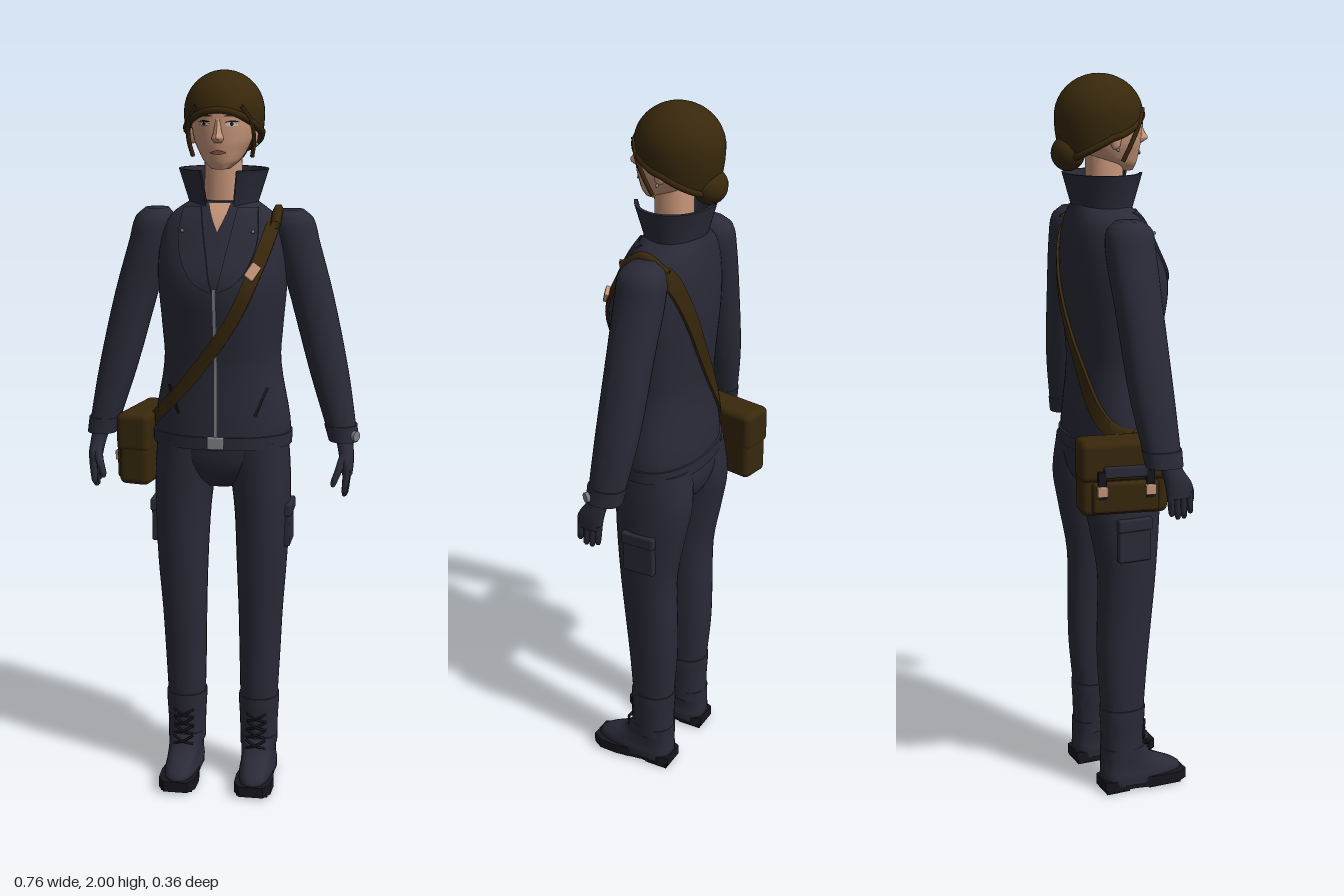
import * as THREE from 'three';
import { toCreasedNormals } from 'three/addons/utils/BufferGeometryUtils.js';
import { RoundedBoxGeometry } from 'three/addons/geometries/RoundedBoxGeometry.js';

const mat = (name, color, side = THREE.FrontSide) => {
  const m = new THREE.MeshStandardMaterial({ color, side });
  m.name = name;
  return m;
};
const M = {
  cloth: mat('navy cloth', 0x2a2a38, THREE.DoubleSide),
  dark: mat('dark trim', 0x15151c, THREE.DoubleSide),
  brown: mat('brown hair and canvas', 0x38280c, THREE.DoubleSide),
  skin: mat('skin', 0xc8967a, THREE.DoubleSide),
  lips: mat('lips', 0x9c5a4c, THREE.DoubleSide),
  metal: mat('grey metal', 0x7c7f84, THREE.DoubleSide),
  white: mat('eye white', 0xd0ccc6, THREE.DoubleSide),
};

function mesh(parent, name, geo, material, p = [0, 0, 0], r = [0, 0, 0]) {
  const m = new THREE.Mesh(geo, material);
  m.name = name;
  m.position.set(...p);
  m.rotation.set(...r);
  parent.add(m);
  return m;
}

// Smooth section at height y; a section is [y, cx, cz, rx, rzFront, rzBack].
function at(S, y) {
  const last = S.length - 1;
  let i = 0;
  while (i < last - 1 && y > S[i + 1][0]) i++;
  const h = S[i + 1][0] - S[i][0];
  const u = THREE.MathUtils.clamp((y - S[i][0]) / h, 0, 1);
  const slope = (k, c) => {
    const a = S[Math.max(k - 1, 0)], b = S[Math.min(k + 1, last)];
    return (b[c] - a[c]) / (b[0] - a[0]);
  };
  return S[i].map((v, c) => c === 0 ? y
    : v * (1 + 2 * u) * (1 - u) ** 2 + S[i + 1][c] * u * u * (3 - 2 * u)
      + h * (slope(i, c) * u * (1 - u) ** 2 - slope(i + 1, c) * u * u * (1 - u)));
}

// Indexed grid of points with optional end caps.
function grid(rows, closed, caps) {
  const n = rows[0].length, pos = rows.flat(2), idx = [], id = (i, j) => i * n + (j % n);
  for (let i = 0; i < rows.length - 1; i++)
    for (let j = 0; j < (closed ? n : n - 1); j++)
      idx.push(id(i, j), id(i, j + 1), id(i + 1, j + 1), id(i, j), id(i + 1, j + 1), id(i + 1, j));
  if (caps) [0, rows.length - 1].forEach((i, top) => {
    const c = pos.length / 3;
    for (let k = 0; k < 3; k++) pos.push(rows[i].reduce((s, p) => s + p[k], 0) / n);
    for (let j = 0; j < n; j++) idx.push(c, id(i, j + (top ? 0 : 1)), id(i, j + (top ? 1 : 0)));
  });
  const g = new THREE.BufferGeometry();
  g.setAttribute('position', new THREE.Float32BufferAttribute(pos, 3));
  g.setIndex(idx);
  g.computeVertexNormals();
  return toCreasedNormals(g, 0.9);
}

// Body part lofted through rounded horizontal sections, lowest first.
function loft(S, s = 1, n = 2.2, seg = 28, sub = 4) {
  const rows = [], pw = v => Math.sign(v) * Math.abs(v) ** (2 / n);
  for (let i = 0; i < S.length - 1; i++)
    for (let k = 0; k < sub + (i === S.length - 2 ? 1 : 0); k++) {
      const [y, cx, cz, rx, f, b] = at(S, S[i][0] + (S[i + 1][0] - S[i][0]) * k / sub);
      rows.push(Array.from({ length: seg }, (_, j) => {
        const a = j / seg * Math.PI * 2, c = pw(Math.cos(a));
        return [s * cx + rx * pw(Math.sin(a)), y, cz + c * (c > 0 ? f : b)];
      }));
    }
  return grid(rows, true, true);
}

// Raised strip lying on a lofted surface; path points are [x, y, halfWidth].
function strip(S, path, back, lift, n = 2.2) {
  const curve = new THREE.CatmullRomCurve3(path.map(p => new THREE.Vector3(...p)));
  const rows = [];
  for (let i = 0; i <= 24; i++) {
    const p = curve.getPoint(i / 24), t = curve.getTangent(i / 24), l = Math.hypot(t.x, t.y) || 1;
    rows.push([[-1, -0.006], [-1, lift], [0, lift], [1, lift], [1, -0.006]].map(([e, d]) => {
      const x = p.x - e * p.z * t.y / l, y = p.y + e * p.z * t.x / l;
      const [, cx, cz, rx, f, b] = at(S, y);
      const k = Math.max(0, 1 - Math.abs((x - cx) / rx) ** n) ** (1 / n);
      return [x, y, cz + (back ? -(b * k + d) : f * k + d)];
    }));
  }
  return grid(rows, false, false);
}

const tube = (pts, r, seg = 16) =>
  new THREE.TubeGeometry(new THREE.CatmullRomCurve3(pts.map(p => new THREE.Vector3(...p))), seg, r, 6);

const TORSO = [
  [1.0, 0, 0, .188, .128, .113], [1.06, 0, 0, .188, .128, .112], [1.22, 0, 0, .161, .128, .1],
  [1.32, 0, 0, .166, .143, .106], [1.45, 0, 0, .176, .157, .117], [1.55, 0, 0, .17, .115, .117],
  [1.62, 0, 0, .14, .078, .11], [1.66, 0, -.01, .085, .06, .09]];
const HEAD = [
  [1.745, 0, .04, .024, .032, .02], [1.765, 0, .02, .048, .06, .05], [1.79, 0, 0, .064, .086, .06],
  [1.82, 0, 0, .077, .09, .08], [1.87, 0, 0, .085, .092, .1], [1.92, 0, 0, .084, .088, .1],
  [1.97, 0, -.01, .05, .055, .06]];

function buildHead(g) {
  mesh(g, 'neck', loft([[1.6, 0, -.01, .056, .05, .05], [1.68, 0, -.01, .052, .05, .05],
    [1.79, 0, -.005, .05, .045, .055]]), M.skin);
  mesh(g, 'face', loft(HEAD, 1, 2.1), M.skin);
  mesh(g, 'nose', loft([[1.815, 0, .08, .011, .018, .01], [1.827, 0, .08, .017, .038, .01],
    [1.842, 0, .08, .012, .03, .01], [1.878, 0, .08, .008, .013, .01]], 1, 2, 12), M.skin);
  mesh(g, 'lips', strip(HEAD, [[-.022, 1.789, .001], [0, 1.79, .006], [.022, 1.789, .001]], false, .005, 2.1), M.lips);
  for (const s of [-1, 1]) {
    const line = (y, w, a, b) => strip(HEAD, [[s * a, y - .002, w * .3], [s * (a + b) / 2, y, w], [s * b, y - .002, w * .3]], false, .003, 2.1);
    mesh(g, 'eye', line(1.864, .005, .022, .052), M.white);
    mesh(g, 'iris', new THREE.CircleGeometry(.005, 12), M.dark, [s * .037, 1.864, .0875], [0, s * .4, 0]);
    mesh(g, 'eyelid', line(1.871, .002, .02, .055), M.dark);
    mesh(g, 'eyebrow', line(1.886, .003, .016, .06), M.brown);
    mesh(g, 'ear', new THREE.SphereGeometry(.02, 12, 10), M.skin, [s * .083, 1.832, -.012]).scale.set(.5, 1.3, .8);
    mesh(g, 'earring', new THREE.SphereGeometry(.005, 8, 6), M.metal, [s * .09, 1.806, -.008]);
    mesh(g, 'hairStrand', tube([[s * .06, 1.91, .075], [s * .083, 1.87, .055], [s * .088, 1.82, .03], [s * .08, 1.775, .01]], .006), M.brown);
  }
  // Swept hair: a dome whose lower edge falls from the brow to the nape
  const rows = [], edge = [];
  for (let i = 0; i <= 15; i++) {
    rows.push(Array.from({ length: 40 }, (_, j) => {
      const a = j / 40 * Math.PI * 2, c = Math.cos(a);
      const bottom = c > 0 ? 1.84 + .06 * c ** 1.5 : 1.84 - .06 * Math.abs(c);
      const y = bottom + (2 - bottom) * Math.cos(Math.min(i / 14, 1) * Math.PI / 2), d = y - 1.89;
      const r = Math.sqrt(Math.max(0, 1 - (d / (d > 0 ? .11 : .2)) ** 2)) * (i === 15 ? .7 : 1);
      const p = [.108 * r * Math.sin(a), y, -.025 + .12 * r * c];
      if (i === 14) edge.push(new THREE.Vector3(p[0] * .96, p[1], -.025 + (p[2] + .025) * .96));
      return p;
    }));
  }
  mesh(g, 'hair', grid(rows.reverse(), true, false), M.brown);
  mesh(g, 'hairRoll', new THREE.TubeGeometry(new THREE.CatmullRomCurve3(edge, true), 60, .01, 8, true), M.brown);
  mesh(g, 'hairBun', new THREE.SphereGeometry(.047, 20, 14), M.brown, [0, 1.795, -.113]).scale.set(1.1, 1, .95);
}

function buildJacket(g) {
  mesh(g, 'jacketBody', loft(TORSO, 1, 2.2, 40), M.cloth);
  mesh(g, 'jacketHem', loft([[.995, 0, 0, .193, .133, .118], [1.03, 0, 0, .194, .134, .119]], 1, 2.2, 40, 1), M.cloth);
  const profile = [[.09, 1.6], [.093, 1.65], [.122, 1.742], [.112, 1.742], [.084, 1.65], [.08, 1.6], [.09, 1.6]];
  const collar = toCreasedNormals(new THREE.LatheGeometry(profile.map(p => new THREE.Vector2(...p)), 36, .42, Math.PI * 2 - .84), .6);
  mesh(g, 'collar', collar, M.cloth, [0, 0, -.016]).scale.z = .86;
  mesh(g, 'throat', strip(TORSO, [[0, 1.655, .03], [0, 1.62, .018], [0, 1.585, .002]], false, .004), M.skin);
  mesh(g, 'zip', strip(TORSO, [[0, 1.03, .005], [0, 1.25, .005], [0, 1.44, .005]], false, .004), M.metal);
  mesh(g, 'beltBuckle', new RoundedBoxGeometry(.046, .034, .014, 2, .004), M.metal, [0, 1.015, .133]);
  for (const s of [-1, 1]) {
    mesh(g, 'lapel', strip(TORSO, [[s * .075, 1.645, .026], [s * .07, 1.56, .036], [s * .045, 1.48, .028], [s * .008, 1.43, .003]], false, .008), M.cloth);
    mesh(g, 'lapelStud', new THREE.SphereGeometry(.005, 8, 6), M.metal, [s * .095, 1.585, .095]);
    mesh(g, 'pocketSlit', strip(TORSO, [[s * .105, 1.09, .004], [s * .135, 1.165, .004]], false, .004), M.dark);
    mesh(g, 'sleeve', loft([[1.02, .336, .02, .038, .042, .052], [1.06, .327, .015, .042, .046, .056],
      [1.2, .293, 0, .053, .056, .062], [1.4, .243, -.012, .059, .06, .064], [1.55, .2, -.02, .06, .066, .066],
      [1.61, .19, -.02, .053, .06, .06], [1.634, .185, -.02, .032, .035, .035]], s), M.cloth);
    mesh(g, 'cuff', loft([[1.012, .338, .02, .041, .046, .055], [1.055, .329, .016, .045, .049, .058]], s, 2.2, 24, 1), M.cloth);
  }
}

function buildHand(g, s) {
  mesh(g, 'glove', loft([[.925, .352, .052, .014, .036, .034], [.96, .35, .05, .019, .04, .036],
    [1.0, .344, .035, .022, .03, .03], [1.03, .336, .025, .025, .03, .03]], s, 2.2, 18), M.cloth);
  for (let i = 0; i < 4; i++) {
    const z = .026 + i * .018, tip = [.875, .865, .866, .878][i];
    mesh(g, 'finger', loft([[tip, .346, z + .008, .005, .005, .005], [tip + .008, .348, z + .007, .008, .008, .008],
      [.94, .353, z, .011, .01, .01]], s, 2, 10), M.cloth);
  }
  mesh(g, 'thumb', loft([[.9, .318, .104, .005, .006, .006], [.912, .32, .102, .009, .009, .009],
    [.945, .332, .09, .011, .012, .012], [.985, .344, .06, .012, .014, .014]], s, 2, 10), M.cloth);
}

function buildLeg(g, s) {
  mesh(g, 'trouserLeg', loft([[.18, .105, 0, .05, .058, .058], [.24, .105, 0, .053, .061, .061], [.38, .107, 0, .058, .07, .073],
    [.5, .109, .004, .062, .076, .078], [.65, .112, .008, .07, .083, .081], [.8, .112, 0, .077, .1, .1],
    [.9, .106, -.003, .083, .108, .114], [1.01, .095, 0, .088, .112, .106]], s), M.cloth);
  mesh(g, 'thighPocket', new RoundedBoxGeometry(.022, .12, .095, 2, .006), M.cloth, [s * .184, .765, 0]);
  mesh(g, 'thighPocketFlap', new RoundedBoxGeometry(.026, .036, .1, 2, .006), M.cloth, [s * .186, .81, 0]);
  mesh(g, 'bootShaft', loft([[.1, .105, 0, .053, .062, .062], [.17, .105, 0, .054, .06, .061],
    [.225, .105, 0, .057, .064, .064], [.25, .105, 0, .057, .065, .065]], s), M.cloth);
  mesh(g, 'bootFoot', loft([[.02, .107, 0, .049, .178, .061], [.045, .107, 0, .05, .178, .063], [.062, .107, 0, .047, .155, .063],
    [.09, .106, 0, .048, .095, .062], [.13, .105, 0, .052, .064, .062]], s, 2.6), M.cloth);
  // Stepped sole with a chamfered toe
  const sole = new THREE.Shape([[-.035, -.066], [.035, -.066], [.046, -.04], [.042, .02], [.054, .1], [.052, .155],
    [.034, .185], [-.034, .185], [-.052, .155], [-.054, .1], [-.042, .02], [-.046, -.04]].map(p => new THREE.Vector2(p[0], -p[1])));
  mesh(g, 'bootSole', new THREE.ExtrudeGeometry(sole, { depth: .03, bevelEnabled: false }), M.dark, [s * .108, .006, 0], [-Math.PI / 2, 0, 0]);
  mesh(g, 'bootHeel', new THREE.BoxGeometry(.08, .012, .07), M.dark, [s * .108, .006, -.028]);
  mesh(g, 'bootTread', new THREE.BoxGeometry(.088, .012, .1), M.dark, [s * .108, .006, .115]);
  for (let i = 0; i < 4; i++) for (const k of [-1, 1]) {
    const y = .105 + i * .025, z = i ? .063 : .078;
    mesh(g, 'lace', tube([[s * .105 - k * .028, y, z - .008], [s * .105, y + .012, z + .006], [s * .105 + k * .028, y + .025, z - .008]], .0035, 6), M.dark);
  }
}

function buildSatchel(g) {
  const front = [[.15, 1.625, .017], [.115, 1.51, .018], [.05, 1.36, .018], [-.05, 1.215, .018], [-.14, 1.11, .017], [-.192, 1.055, .015]];
  const back = [[.15, 1.625, .017], [.115, 1.52, .018], [.04, 1.36, .018], [-.05, 1.22, .018], [-.13, 1.11, .017], [-.19, 1.05, .015]];
  mesh(g, 'frontStrap', strip(TORSO, front, false, .008), M.brown);
  mesh(g, 'backStrap', strip(TORSO, back, true, .008), M.brown);
  mesh(g, 'shoulderStrap', tube([[.15, 1.6, .06], [.15, 1.635, 0], [.15, 1.6, -.07]], .014), M.brown);
  mesh(g, 'strapBuckle', new RoundedBoxGeometry(.045, .028, .012, 2, .003), M.skin, [.1, 1.485, .138], [-.25, .45, 1.0]);
  const bag = new THREE.Group();
  bag.name = 'satchel';
  bag.position.set(-.222, .965, -.055);
  bag.rotation.y = -.19;
  g.add(bag);
  mesh(bag, 'bagBody', new RoundedBoxGeometry(.09, .195, .235, 3, .018), M.brown);
  mesh(bag, 'bagFlap', new RoundedBoxGeometry(.098, .11, .24, 3, .018), M.brown, [-.003, .05, 0]);
  mesh(bag, 'bagPocket', new RoundedBoxGeometry(.03, .085, .18, 3, .01), M.brown, [-.045, -.045, 0]);
  mesh(bag, 'bagClasp', new RoundedBoxGeometry(.014, .03, .12, 2, .004), M.cloth, [-.056, .025, 0]);
  for (const z of [-.065, .065]) {
    mesh(bag, 'bagTab', new THREE.BoxGeometry(.012, .075, .022), M.dark, [-.057, -.01, z]);
    mesh(bag, 'bagBuckle', new RoundedBoxGeometry(.014, .028, .028, 2, .003), M.skin, [-.063, -.025, z]);
  }
}

export function createModel() {
  const g = new THREE.Group();
  g.name = 'figure';
  buildHead(g);
  buildJacket(g);
  mesh(g, 'trouserSeat', loft([[.872, 0, 0, .05, .05, .06], [.9, 0, 0, .1, .085, .095], [.95, 0, 0, .17, .108, .11],
    [1.01, 0, 0, .184, .118, .108]]), M.cloth);
  for (const s of [-1, 1]) {
    buildHand(g, s);
    buildLeg(g, s);
  }
  // Watch on the left wrist
  mesh(g, 'watch', new THREE.CylinderGeometry(.014, .014, .01, 16), M.metal, [.372, 1.03, .05], [0, -.6, Math.PI / 2]);
  buildSatchel(g);
  return g;
}
